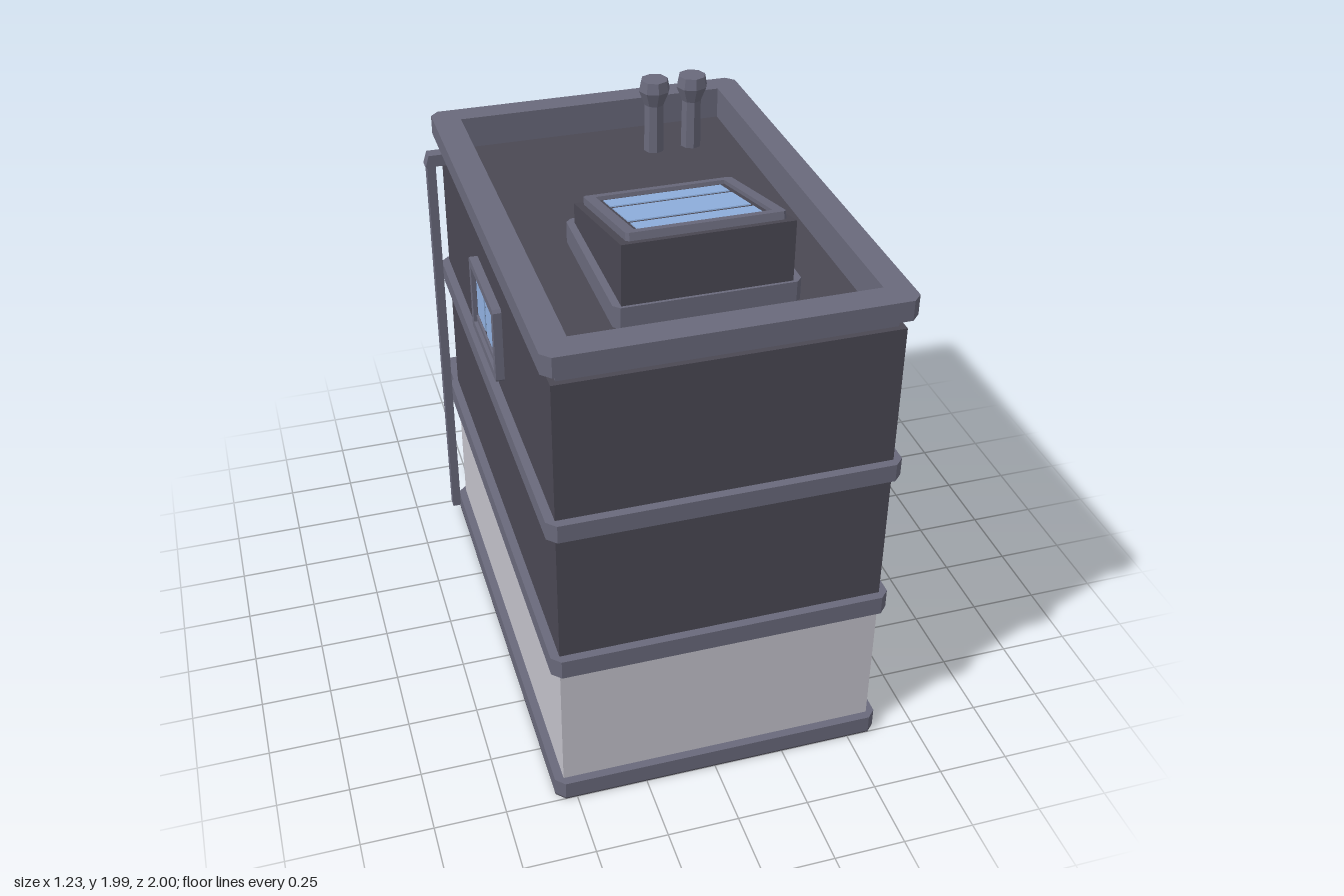
import * as THREE from 'three';

const material = (name, color) => {
  const m = new THREE.MeshStandardMaterial({ color, flatShading: true });
  m.name = name;
  return m;
};

export function createModel() {
  const wall = material('dark wall', 0x4a4853);
  const trim = material('slate trim', 0x69697b);
  const plaster = material('pale plaster', 0xc2c1ca);
  const glass = material('blue glass', 0x90b1e0);
  const root = new THREE.Group();
  root.name = 'building';

  function add(name, geometry, mat, parent = root) {
    const mesh = new THREE.Mesh(geometry, mat);
    mesh.name = name;
    parent.add(mesh);
    return mesh;
  }

  // Box given by its limits on each axis
  function box(name, mat, [x0, x1], [y0, y1], [z0, z1], parent = root) {
    const g = new THREE.BoxGeometry(x1 - x0, y1 - y0, z1 - z0);
    g.translate((x0 + x1) / 2, (y0 + y1) / 2, (z0 + z1) / 2);
    return add(name, g, mat, parent);
  }

  // Rectangle with chamfered corners and an optional notch in its top edge
  function outline(x0, x1, y0, y1, c = 0, notch = null, Type = THREE.Shape) {
    const p = [[x0 + c, y0], [x1 - c, y0], [x1, y0 + c], [x1, y1 - c], [x1 - c, y1]];
    if (notch) {
      const [a, b, d] = notch;
      p.push([b, y1], [b, d], [a, d], [a, y1]);
    }
    p.push([x0 + c, y1], [x0, y1 - c], [x0, y0 + c]);
    return new Type(p.map(([x, y]) => new THREE.Vector2(x, y)));
  }

  // Horizontal slab extruded upwards from a plan shape (shape y = -z)
  function slab(name, mat, shape, y0, y1) {
    const g = new THREE.ExtrudeGeometry(shape, { depth: y1 - y0, bevelEnabled: false });
    g.rotateX(-Math.PI / 2);
    g.translate(0, y0, 0);
    return add(name, g, mat);
  }

  const bandPlan = (notch) => outline(-0.57, 0.61, -1, 0.745, 0.03, notch);
  const WX = [-0.54, 0.58], WZ = [-0.72, 0.97];

  // Storeys
  box('groundFloorWalls', plaster, WX, [0.05, 0.58], WZ);
  box('upperFloorWalls', wall, WX, [0.58, 1.69], WZ);

  // Base and floor bands, with a doorway gap in the base
  const doorGap = [-0.385, 0.44, 0.72];
  slab('underside', wall, bandPlan(doorGap), 0, 0.005);
  slab('baseBand', trim, bandPlan(doorGap), 0.005, 0.07);
  slab('firstFloorBand', trim, bandPlan(), 0.565, 0.635);
  slab('secondFloorBand', trim, bandPlan(), 1.13, 1.195);

  // Parapet ring on a recessed neck
  const roofHole = () => outline(-0.47, 0.52, -0.9, 0.655, 0, null, THREE.Path);
  const neck = outline(-0.52, 0.56, -0.95, 0.7);
  neck.holes.push(roofHole());
  slab('parapetNeck', trim, neck, 1.69, 1.735);
  const parapet = bandPlan();
  parapet.holes.push(roofHole());
  slab('parapet', trim, parapet, 1.735, 1.805);

  // Framed window facing local +z; panes are [x0, x1, y0, y1]
  function windowUnit(name, w, h, border, depth, panes) {
    const group = new THREE.Group();
    group.name = name;
    const ring = outline(-w / 2, w / 2, -h / 2, h / 2, 0.01);
    const iw = w / 2 - border, ih = h / 2 - border;
    ring.holes.push(outline(-iw, iw, -ih, ih, 0, null, THREE.Path));
    add('frame', new THREE.ExtrudeGeometry(ring, { depth, bevelEnabled: false }), trim, group);
    box('innerFrame', wall, [-iw, iw], [-ih, ih], [0, depth * 0.5], group);
    for (const [x0, x1, y0, y1] of panes) {
      box('pane', glass, [x0, x1], [y0, y1], [depth * 0.5, depth * 0.5 + 0.004], group);
    }
    root.add(group);
    return group;
  }

  // Strip windows on the back
  const strip = [[-0.405, -0.275], [-0.255, -0.01], [0.01, 0.255], [0.275, 0.405]];
  for (const y of [0.848, 1.41]) {
    const win = windowUnit('backWindow', 0.9, 0.28, 0.025, 0.025, strip.map(([a, b]) => [a, b, -0.055, 0.1]));
    box('sill', trim, [-0.42, 0.42], [-0.095, -0.07], [0, 0.02], win);
    win.position.set(0.02, y, -0.72);
    win.rotation.y = Math.PI;
  }

  // Small side window
  const side = windowUnit('sideWindow', 0.39, 0.28, 0.03, 0.03, [[-0.135, -0.012, -0.06, 0.09], [0.012, 0.135, -0.06, 0.09]]);
  box('sill', trim, [-0.15, 0.15], [-0.095, -0.075], [0, 0.022], side);
  side.position.set(-0.54, 1.41, 0.095);
  side.rotation.y = -Math.PI / 2;

  // Skylight: curb, wedge-shaped housing and sloped glazing
  slab('skylightCurb', trim, outline(-0.28, 0.33, -0.73, -0.13, 0.02), 1.69, 1.765);
  const wedge = new THREE.Shape([[-0.72, 1.76], [-0.16, 1.76], [-0.16, 1.835], [-0.72, 1.975]].map(([x, y]) => new THREE.Vector2(x, y)));
  const wedgeGeo = new THREE.ExtrudeGeometry(wedge, { depth: 0.555, bevelEnabled: false });
  wedgeGeo.rotateY(Math.PI / 2);
  wedgeGeo.translate(-0.255, 0, 0);
  add('skylightHousing', wedgeGeo, wall);
  const sky = windowUnit('skylightWindow', 0.51, 0.525, 0.035, 0.026,
    [[-0.2, 0.2, 0.118, 0.207], [-0.2, 0.2, -0.088, 0.092], [-0.2, 0.2, -0.207, -0.114]]);
  sky.position.set(0.025, 1.904, 0.437);
  sky.rotation.x = -Math.PI / 2 - Math.atan(0.25);

  // Roof vents
  const ventProfile = [[0, 1.69], [0.038, 1.69], [0.036, 1.87], [0.058, 1.925], [0.05, 1.965], [0, 1.965]]
    .map(([r, y]) => new THREE.Vector2(r, y));
  for (const x of [0.205, 0.347]) {
    add('roofVent', new THREE.LatheGeometry(ventProfile, 8), trim).position.set(x, 0, -0.45);
  }

  // Downpipe with its bend into the wall
  box('downpipe', trim, [-0.612, -0.58], [0.07, 1.66], [-0.667, -0.625]);
  const bend = box('downpipeBend', trim, [-0.618, -0.53], [1.645, 1.69], [-0.67, -0.622]);
  const bp = bend.geometry.attributes.position;
  for (let i = 0; i < bp.count; i++) {
    if (bp.getX(i) < -0.6 && bp.getY(i) > 1.67) bp.setX(i, -0.604);
  }

  // Canopy tray over the rear door
  box('canopyDeck', wall, [-0.51, 0.555], [0.425, 0.47], [-0.965, -0.715]);
  box('canopySideRim', trim, [-0.54, -0.5], [0.425, 0.565], [-0.965, -0.715]);
  box('canopySideRim', trim, [0.545, 0.585], [0.425, 0.565], [-0.965, -0.715]);
  const fascia = box('canopyFascia', trim, [-0.54, 0.585], [0.425, 0.565], [-1, -0.96]);
  const fp = fascia.geometry.attributes.position;
  for (let i = 0; i < fp.count; i++) {
    if (fp.getY(i) < 0.5 && fp.getZ(i) < -0.98) fp.setZ(i, -0.985);
  }
  for (const x of [-0.48, 0.525]) {
    box('canopyPost', wall, [x - 0.02, x + 0.02], [0, 0.43], [-0.955, -0.915]);
  }

  // Rear door and surround
  box('rearDoor', wall, [-0.345, 0.4], [0, 0.41], [-0.728, -0.715]);
  box('doorJamb', trim, [-0.385, -0.345], [0, 0.44], [-0.745, -0.715]);
  box('doorJamb', trim, [0.4, 0.44], [0, 0.44], [-0.745, -0.715]);
  box('doorLintel', trim, [-0.345, 0.4], [0.4, 0.44], [-0.745, -0.715]);
  box('doorHandle', trim, [-0.01, 0.06], [0.05, 0.075], [-0.738, -0.728]);

  return root;
}
